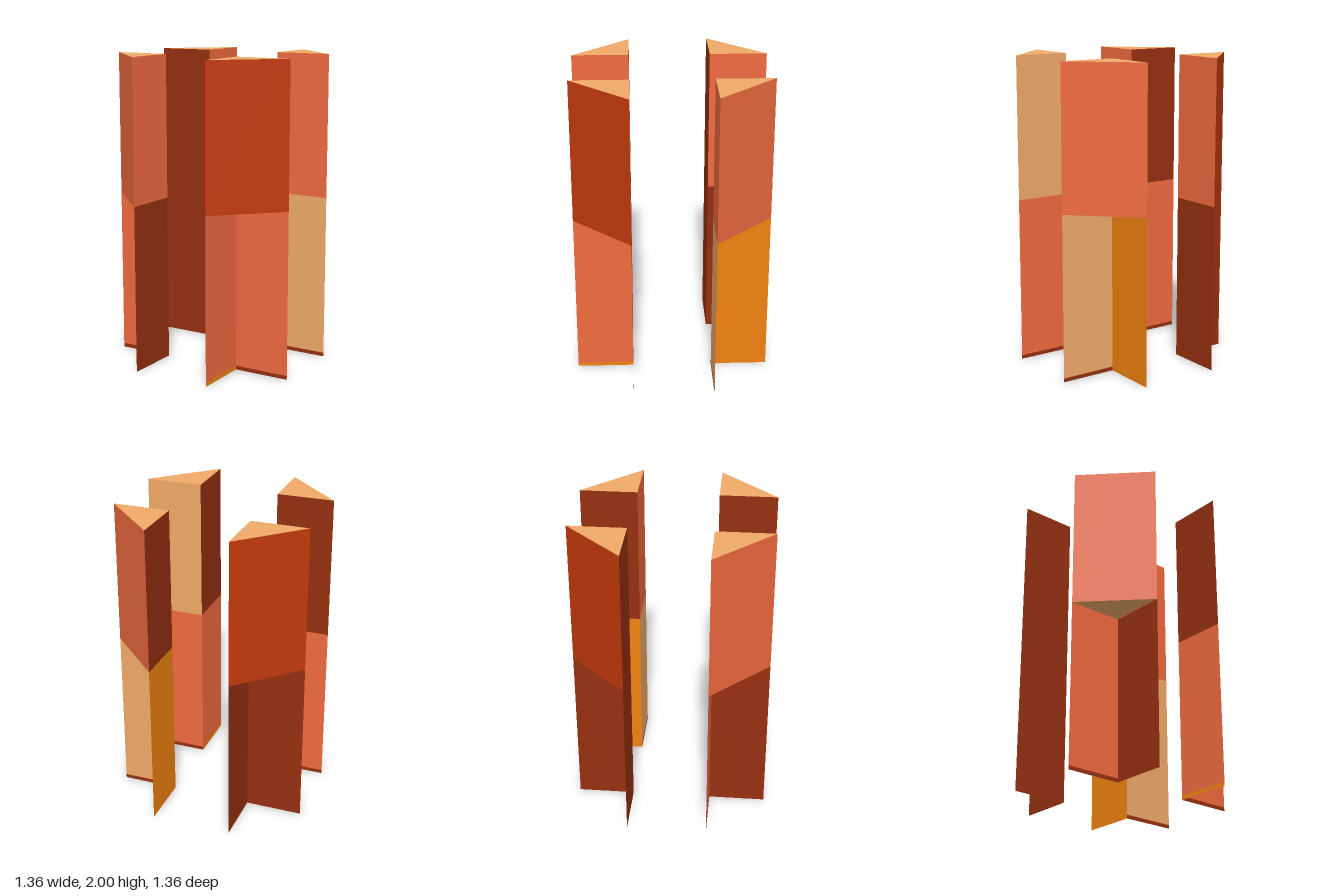
import * as THREE from 'three';

const paint = (color) => new THREE.MeshStandardMaterial({ color, side: THREE.DoubleSide });

export function createModel() {
  const model = new THREE.Group();
  model.name = 'fourColumns';

  const rust = paint(0x963010);
  const brick = paint(0xc43a0d);
  const coral = paint(0xf06a3f);
  const amber = paint(0xf08210);
  const tan = paint(0xf0aa68);

  // Heights: foot strip, open lower half, closed upper half
  const FOOT = 0.025, MID = 1.075, TOP = 2;

  // Plan of one column: an octagon side with an inner right-angled corner
  const r = 0.68, d = r * Math.SQRT1_2;
  const start = new THREE.Vector2(0, -r);
  const end = new THREE.Vector2(d, -d);
  const inner = new THREE.Vector2(d - r / 2, -r / 2);

  // Upright panel from plan point a to b; its face points out of the column
  function panel(parent, name, a, b, y0, y1, material) {
    const mesh = new THREE.Mesh(new THREE.PlaneGeometry(a.distanceTo(b), y1 - y0), material);
    mesh.position.set((a.x + b.x) / 2, (y0 + y1) / 2, (a.y + b.y) / 2);
    mesh.rotation.y = -Math.atan2(b.y - a.y, b.x - a.x);
    mesh.name = name;
    parent.add(mesh);
  }

  // Wall stacked from upper panel, lower panel and foot strip
  function wall(parent, name, a, b, [upper, lower, foot]) {
    panel(parent, name + 'Upper', a, b, MID, TOP, upper);
    panel(parent, name + 'Lower', a, b, FOOT, MID, lower);
    panel(parent, name + 'Foot', a, b, 0, FOOT, foot);
  }

  // Triangular lid or underside of the closed half
  function cap(parent, name, y) {
    const geometry = new THREE.ShapeGeometry(new THREE.Shape([start, end, inner]));
    geometry.rotateX(Math.PI / 2);
    const mesh = new THREE.Mesh(geometry, tan);
    mesh.position.y = y;
    mesh.name = name;
    parent.add(mesh);
  }

  // Colours of each column, a quarter turn apart
  const columns = [
    { name: 'backColumn', outer: coral, first: [rust, amber, amber], second: [coral, tan, rust] },
    { name: 'leftColumn', outer: brick, first: [tan, coral, rust], second: [rust, coral, amber] },
    { name: 'frontColumn', outer: coral, first: [coral, rust, rust], second: [rust, coral, rust] },
    { name: 'rightColumn', outer: brick, first: [rust, rust, rust], second: [coral, rust, rust] },
  ];

  columns.forEach((c, i) => {
    const column = new THREE.Group();
    column.name = c.name;
    wall(column, 'firstWall', start, inner, c.first);
    wall(column, 'secondWall', inner, end, c.second);
    panel(column, 'outerWall', end, start, MID, TOP, c.outer);
    cap(column, 'topCap', TOP);
    cap(column, 'underside', MID);
    column.rotation.y = -i * Math.PI / 2;
    model.add(column);
  });

  return model;
}
